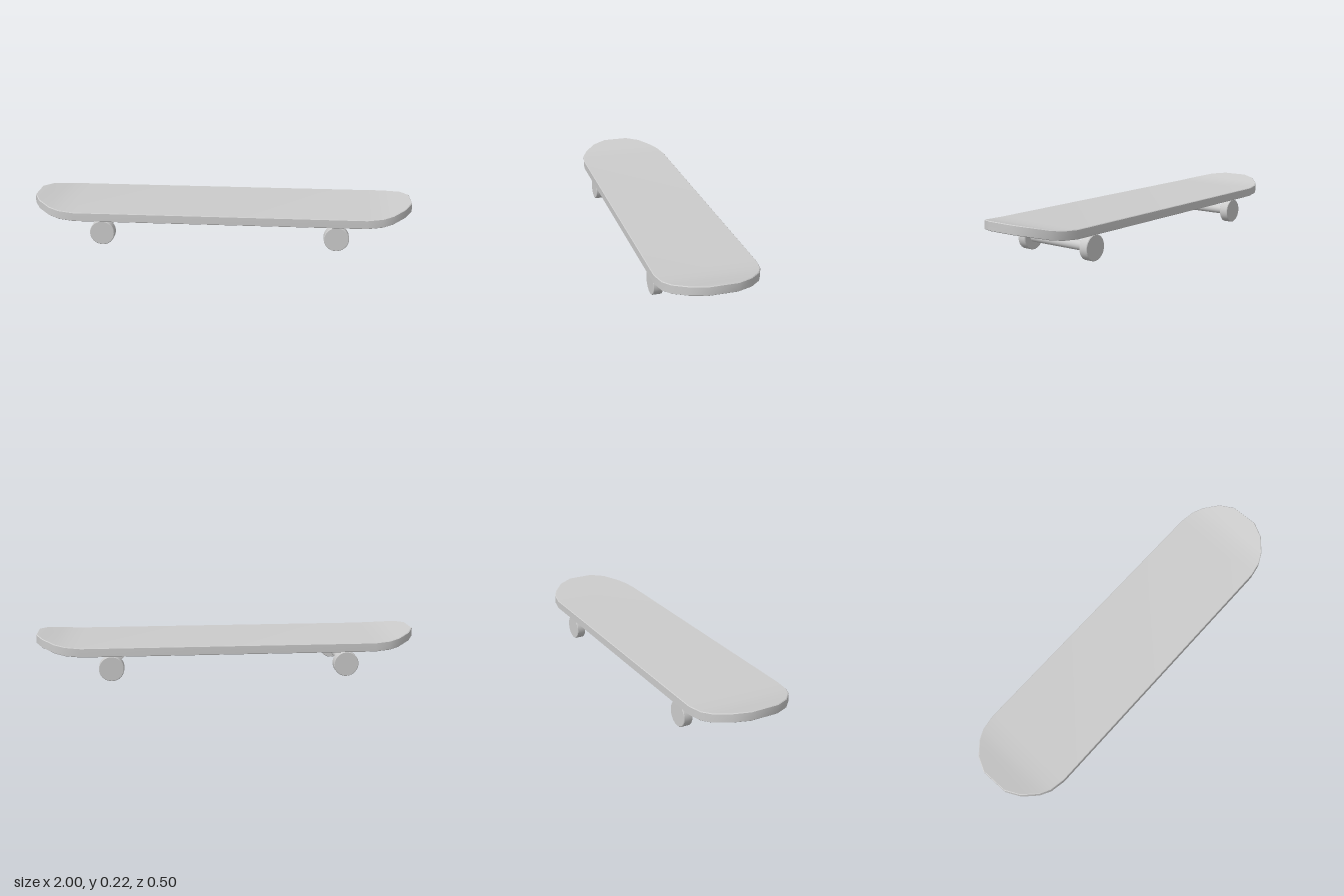
import * as THREE from 'three';
import { toCreasedNormals } from 'three/addons/utils/BufferGeometryUtils.js';

const material = new THREE.MeshStandardMaterial({ color: 0xcccccc });

function addMesh(parent, name, geometry, x = 0, y = 0, z = 0) {
  const mesh = new THREE.Mesh(geometry, material);
  mesh.name = name;
  mesh.position.set(x, y, z);
  parent.add(mesh);
  return mesh;
}

// Deck: stacked outline loops, with upturned ends and thin bevelled rims
function deckGeometry() {
  // x, half width, lift of the upturned end
  const end = [[0.76, 0.252, 0], [0.84, 0.238, 0.005], [0.895, 0.21, 0.013], [0.962, 0.148, 0.029], [1, 0.073, 0.037]];
  const stations = [...end.map(([x, w, l]) => [-x, w, l]).reverse(), ...end];
  const outline = [
    ...stations.map(([x, w, l]) => [x, w, l]),
    ...stations.map(([x, w, l]) => [x, -w, l]).reverse(),
  ];
  // height and inset of each loop, bottom to top
  const layers = [[0.136, 0.003], [0.139, 0], [0.18, 0], [0.183, 0.003]];
  const n = stations.length, m = outline.length;
  const positions = [], index = [];
  for (const [y, inset] of layers) {
    for (const [x, z, lift] of outline) {
      positions.push(x * (1 - inset), y + lift, z - Math.sign(z) * inset);
    }
  }
  const quad = (a, b, c, d) => index.push(a, b, c, a, c, d);
  // rim
  for (let k = 0; k < layers.length - 1; k++) {
    for (let i = 0; i < m; i++) {
      const j = (i + 1) % m;
      quad(k * m + i, k * m + j, (k + 1) * m + j, (k + 1) * m + i);
    }
  }
  // top and bottom faces, in strips across the deck
  const top = (layers.length - 1) * m;
  for (let i = 0; i < n - 1; i++) {
    const a = i, b = i + 1, c = m - 2 - i, d = m - 1 - i;
    quad(top + a, top + b, top + c, top + d);
    quad(d, c, b, a);
  }
  const geometry = new THREE.BufferGeometry();
  geometry.setAttribute('position', new THREE.Float32BufferAttribute(positions, 3));
  geometry.setIndex(index);
  return toCreasedNormals(geometry, Math.PI / 5);
}

// Wheel: a disc with slightly softened rims, its axis along z
function wheelGeometry(radius, width) {
  const h = width / 2, b = 0.003;
  const profile = [[0, -h], [radius - b, -h], [radius, -h + b], [radius, h - b], [radius - b, h], [0, h]]
    .map(([r, y]) => new THREE.Vector2(r, y));
  return toCreasedNormals(new THREE.LatheGeometry(profile, 40).rotateX(Math.PI / 2), Math.PI / 6);
}

export function createModel() {
  const model = new THREE.Group();
  model.name = 'skateboard';
  addMesh(model, 'deck', deckGeometry());

  const axleY = 0.066;
  const wheel = wheelGeometry(0.065, 0.048);
  const axle = new THREE.CylinderGeometry(0.025, 0.025, 0.38, 32).rotateX(Math.PI / 2);
  const post = new THREE.CylinderGeometry(0.017, 0.017, 0.076, 24);

  // Front and rear trucks
  for (const [name, x] of [['leftTruck', 0.608], ['rightTruck', -0.613]]) {
    const truck = new THREE.Group();
    truck.name = name;
    truck.position.x = x;
    addMesh(truck, 'axle', axle, 0, axleY, 0);
    addMesh(truck, 'post', post, 0, 0.104, 0);
    addMesh(truck, 'frontWheel', wheel, 0, axleY, 0.203);
    addMesh(truck, 'backWheel', wheel, 0, axleY, -0.203);
    model.add(truck);
  }
  return model;
}
